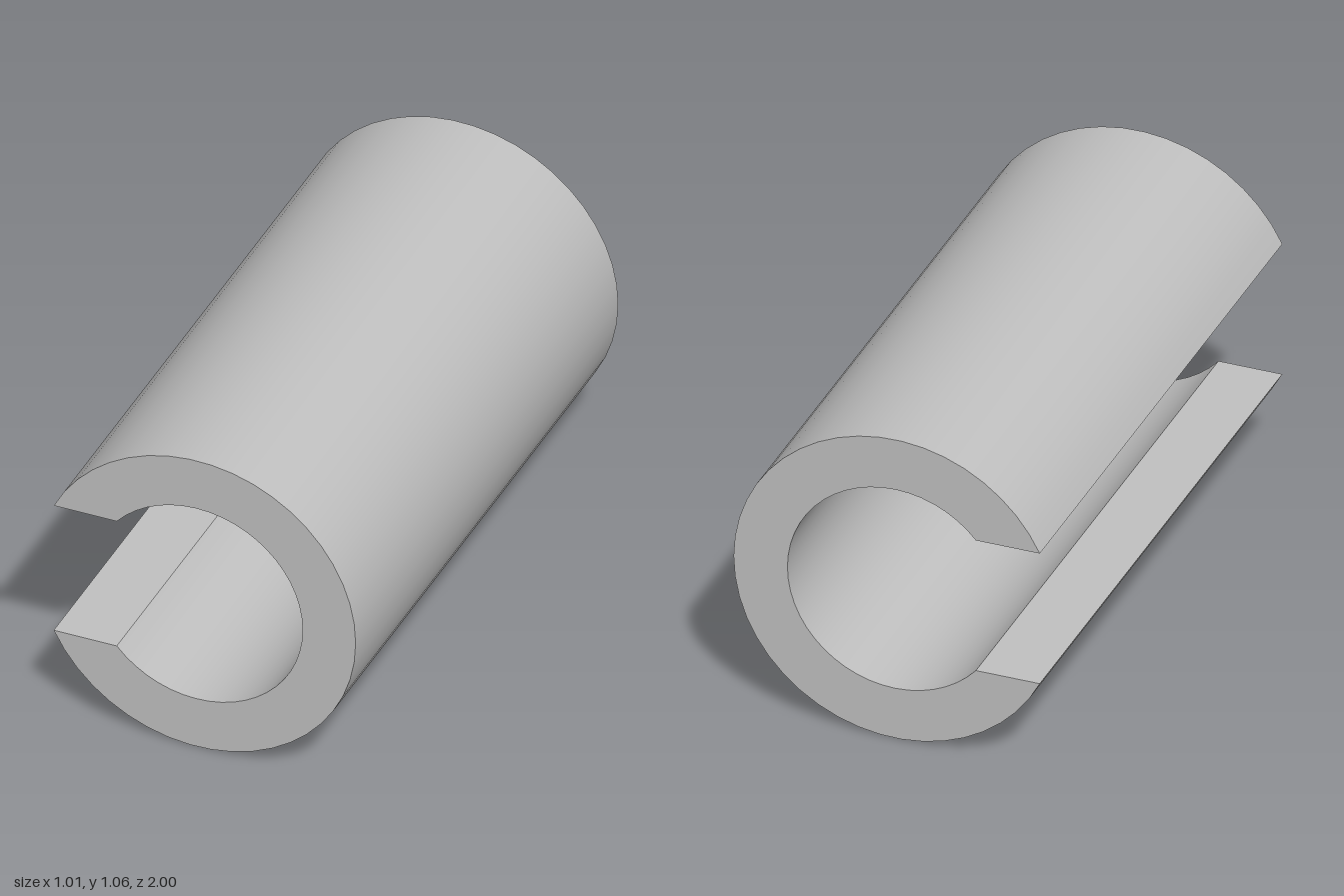
import * as THREE from 'three';
import { toCreasedNormals } from 'three/addons/utils/BufferGeometryUtils.js';

export function createModel() {
  const group = new THREE.Group();
  group.name = 'slottedTube';
  const grey = new THREE.MeshStandardMaterial({ color: 0xc0c0c0 });
  grey.name = 'plain grey';

  const outer = 0.533, inner = 0.355, halfSlot = 0.2325, length = 2;
  const centreX = -0.027, centreY = outer;

  // C-shaped section: the slot opens toward -x with level, parallel faces
  const outerAngle = Math.PI - Math.asin(halfSlot / outer);
  const innerAngle = Math.PI - Math.asin(halfSlot / inner);
  const section = new THREE.Shape();
  section.absarc(centreX, centreY, outer, -outerAngle, outerAngle, false);
  section.absarc(centreX, centreY, inner, innerAngle, -innerAngle, true);
  section.closePath();

  // Extruded along z, smooth round the curves and sharp at the edges
  const extruded = new THREE.ExtrudeGeometry(section, {
    depth: length, bevelEnabled: false, curveSegments: 20,
  });
  extruded.translate(0, 0, -length / 2);
  const tube = new THREE.Mesh(toCreasedNormals(extruded, Math.PI / 6), grey);
  tube.name = 'tubeWall';
  group.add(tube);
  return group;
}
